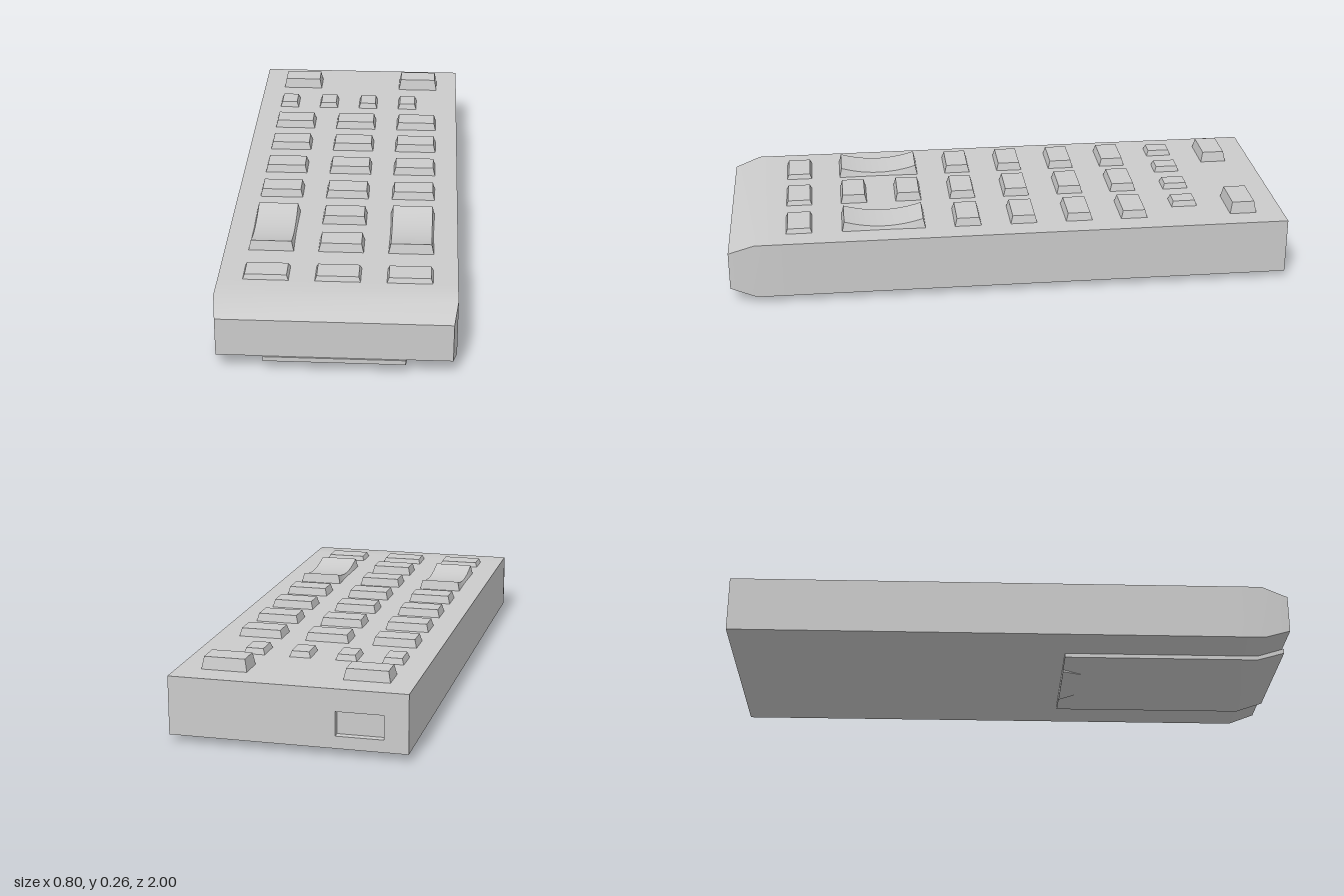
import * as THREE from 'three';

const TOP = 0.223, BOTTOM = 0.023;

export function createModel() {
  const model = new THREE.Group();
  const material = new THREE.MeshStandardMaterial({ color: 0xcccccc });

  const add = (name, geometry) => {
    const mesh = new THREE.Mesh(geometry, material);
    mesh.name = name;
    model.add(mesh);
    return mesh;
  };

  // Box lofted through sections [z, halfWidth, yLow, yHigh]; smooth along z, sharp between sides.
  const loft = (sections) => {
    const n = sections.length - 1;
    const geo = new THREE.BoxGeometry(2, 2, n, 1, 1, n);
    const p = geo.attributes.position;
    for (let i = 0; i < p.count; i++) {
      const [z, w, low, high] = sections[Math.round(p.getZ(i) + n / 2)];
      p.setXYZ(i, p.getX(i) * w, p.getY(i) > 0 ? high : low, z);
    }
    geo.computeVertexNormals();
    return geo;
  };

  // Key with tapered sides; dip makes the top concave along z.
  const key = (name, x, z, width, depth, height, dip = 0) => {
    const inset = 0.01, low = -0.01;
    const geo = new THREE.BoxGeometry(width, 1, depth, 1, 1, dip ? 12 : 1);
    const p = geo.attributes.position;
    for (let i = 0; i < p.count; i++) {
      if (p.getY(i) < 0) { p.setY(i, low); continue; }
      const t = p.getZ(i) / (depth / 2);
      p.setXYZ(i,
        p.getX(i) - Math.sign(p.getX(i)) * inset,
        height - dip * (1 - t * t),
        t * (depth / 2 - inset));
    }
    geo.computeVertexNormals();
    add(name, geo).position.set(x, TOP, z);
  };

  // Main case with a chamfered front end
  add('case', loft([
    [-0.975, 0.4, BOTTOM, TOP],
    [0.8, 0.4, BOTTOM, TOP],
    [0.9, 0.4, BOTTOM, TOP],
    [0.993, 0.387, 0.055, 0.19],
  ]));

  // Back panel with a rectangular window recess
  const rect = (Type, x0, x1, y0, y1) => new Type([
    new THREE.Vector2(x0, y0), new THREE.Vector2(x1, y0),
    new THREE.Vector2(x1, y1), new THREE.Vector2(x0, y1),
  ]);
  const panel = rect(THREE.Shape, -0.4, 0.4, BOTTOM, TOP);
  panel.holes.push(rect(THREE.Path, -0.32, -0.16, 0.065, 0.147));
  const panelGeo = new THREE.ExtrudeGeometry(panel, { depth: 0.025, bevelEnabled: false });
  add('backPanel', panelGeo.translate(0, 0, -1));

  // Battery cover following the underside and the front chamfer
  add('batteryCover', loft([
    [0.2, 0.24, 0.008, 0.04],
    [0.8, 0.24, 0.008, 0.04],
    [0.9, 0.24, 0.008, 0.04],
    [1, 0.233, 0.04, 0.056],
  ]));

  // Low finger grip at the rear edge of the cover
  add('coverGrip', loft([
    [0.2, 0.13, 0, 0.012],
    [0.27, 0.09, 0.007, 0.012],
  ]));

  // Corner keys at the back
  key('cornerKey', -0.24, -0.855, 0.16, 0.1, 0.037);
  key('cornerKey', 0.24, -0.855, 0.16, 0.1, 0.042);

  // Row of small keys
  for (const x of [-0.28, -0.12, 0.04, 0.2]) key('smallKey', x, -0.655, 0.08, 0.1, 0.02);

  // Main three-column pad and the lower row
  for (const x of [-0.24, 0, 0.24]) {
    for (const z of [-0.455, -0.255, -0.055, 0.145]) key('padKey', x, z, 0.16, 0.1, 0.028);
    key('lowerKey', x, 0.745, 0.16, 0.1, 0.017);
  }

  // Middle keys between two concave rockers
  for (const z of [0.345, 0.545]) key('middleKey', 0, z, 0.16, 0.1, 0.03);
  for (const x of [-0.24, 0.24]) key('rocker', x, 0.445, 0.16, 0.3, 0.034, 0.022);

  return model;
}
